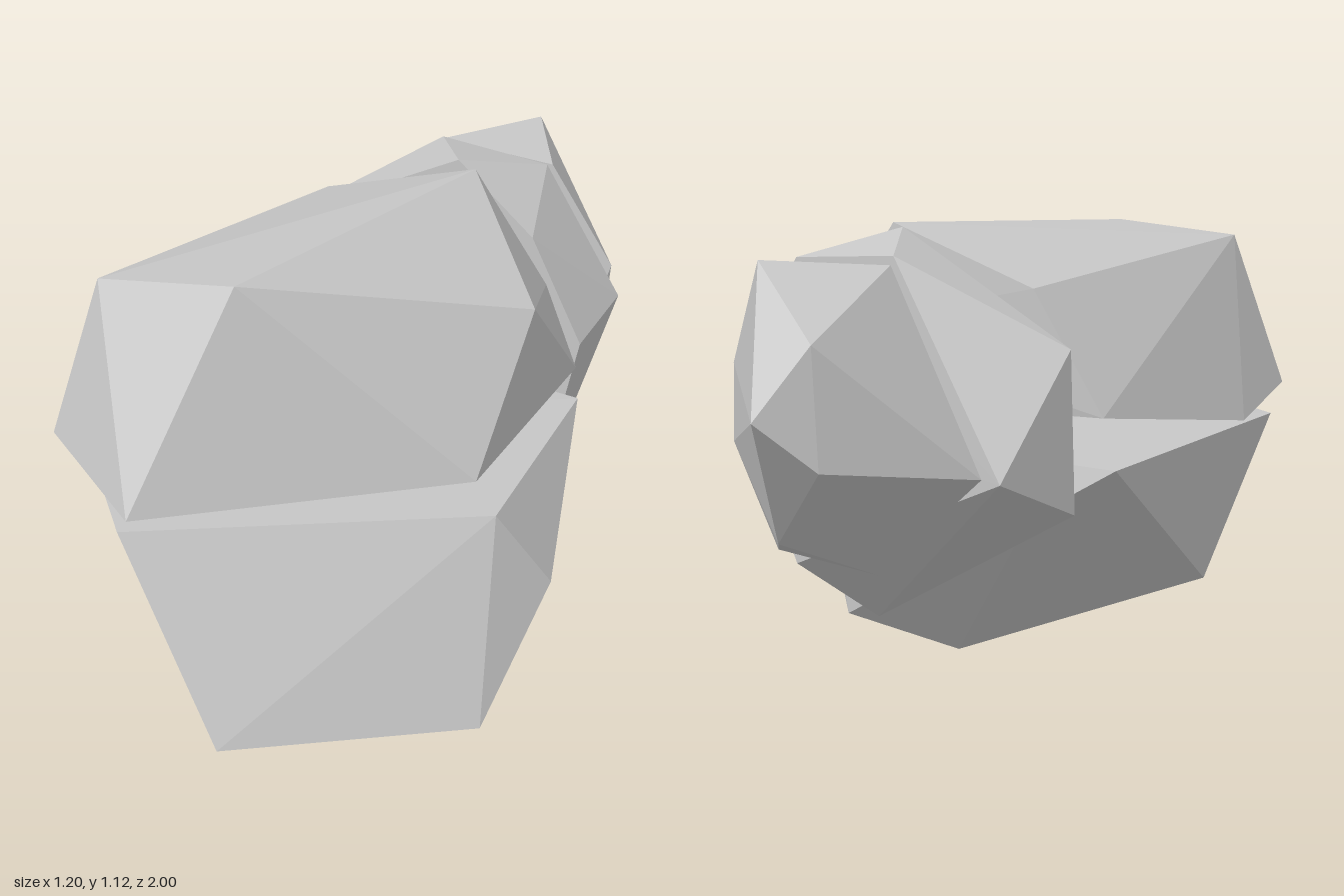
import * as THREE from 'three';
import { ConvexGeometry } from 'three/addons/geometries/ConvexGeometry.js';

const stone = new THREE.MeshStandardMaterial({ color: 0xc6c6c6 });
stone.name = 'light grey stone';

// A faceted chunk of rock: the convex hull of its corners.
function rock(name, corners) {
  const mesh = new THREE.Mesh(
    new ConvexGeometry(corners.map((c) => new THREE.Vector3(...c))), stone);
  mesh.name = name;
  return mesh;
}

export function createModel() {
  const group = new THREE.Group();
  group.name = 'splitBoulder';

  group.add(
    // Upper half of the large front piece
    rock('upperRock', [
      [-0.34, 1.08, 0.75], [-0.01, 1.12, 0.68], [0.08, 1.12, -0.16],
      [0.41, 0.94, 0.11], [0.44, 0.64, 0.41], [-0.13, 0.625, 0.95],
      [-0.46, 0.68, 0.82], [-0.54, 0.61, 0.5], [-0.57, 0.68, -0.15],
      [-0.37, 0.97, -0.16], [0.39, 0.66, -0.15], [0.28, 0.85, -0.18],
    ]),
    // Lower half, resting on its lowest corner
    rock('lowerRock', [
      [-0.14, 0.605, 0.97], [0.13, 0.13, 1.0], [0.565, 0.1, 0.58],
      [0.595, 0.37, 0.32], [0.5, 0.575, 0.42], [0.02, 0, 0.02],
      [-0.53, 0.22, 0.34], [-0.51, 0.61, 0.68], [-0.6, 0.56, -0.14],
      [0.4, 0.575, -0.15], [0.29, 0.43, -0.18], [0.23, 0.1, -0.18],
      [-0.38, 0.43, -0.18],
    ]),
    // Thin slab behind the front pieces
    rock('middleSlab', [
      [0, 1.11, -0.21], [0.22, 0.95, -0.21], [0.365, 0.69, -0.215],
      [0.26, 0.2, -0.21], [0.09, 0.12, -0.21], [-0.54, 0.46, -0.215],
      [-0.525, 0.84, -0.215], [-0.2, 1.05, -0.455], [0.12, 1.04, -0.455],
      [0.345, 0.72, -0.46], [0.12, 0.295, -0.465], [-0.53, 0.56, -0.47],
    ]),
    // Pointed rear piece
    rock('rearRock', [
      [-0.32, 0.73, -1.0], [-0.34, 0.88, -0.85], [-0.06, 1.045, -0.74],
      [-0.22, 1.03, -0.485], [0.12, 1.03, -0.485], [0.3, 0.78, -0.5],
      [0.27, 0.59, -0.53], [0.17, 0.325, -0.48], [-0.17, 0.31, -0.48],
      [-0.2, 0.44, -0.82], [-0.39, 0.62, -0.88], [-0.49, 0.57, -0.485],
    ]),
  );
  return group;
}
